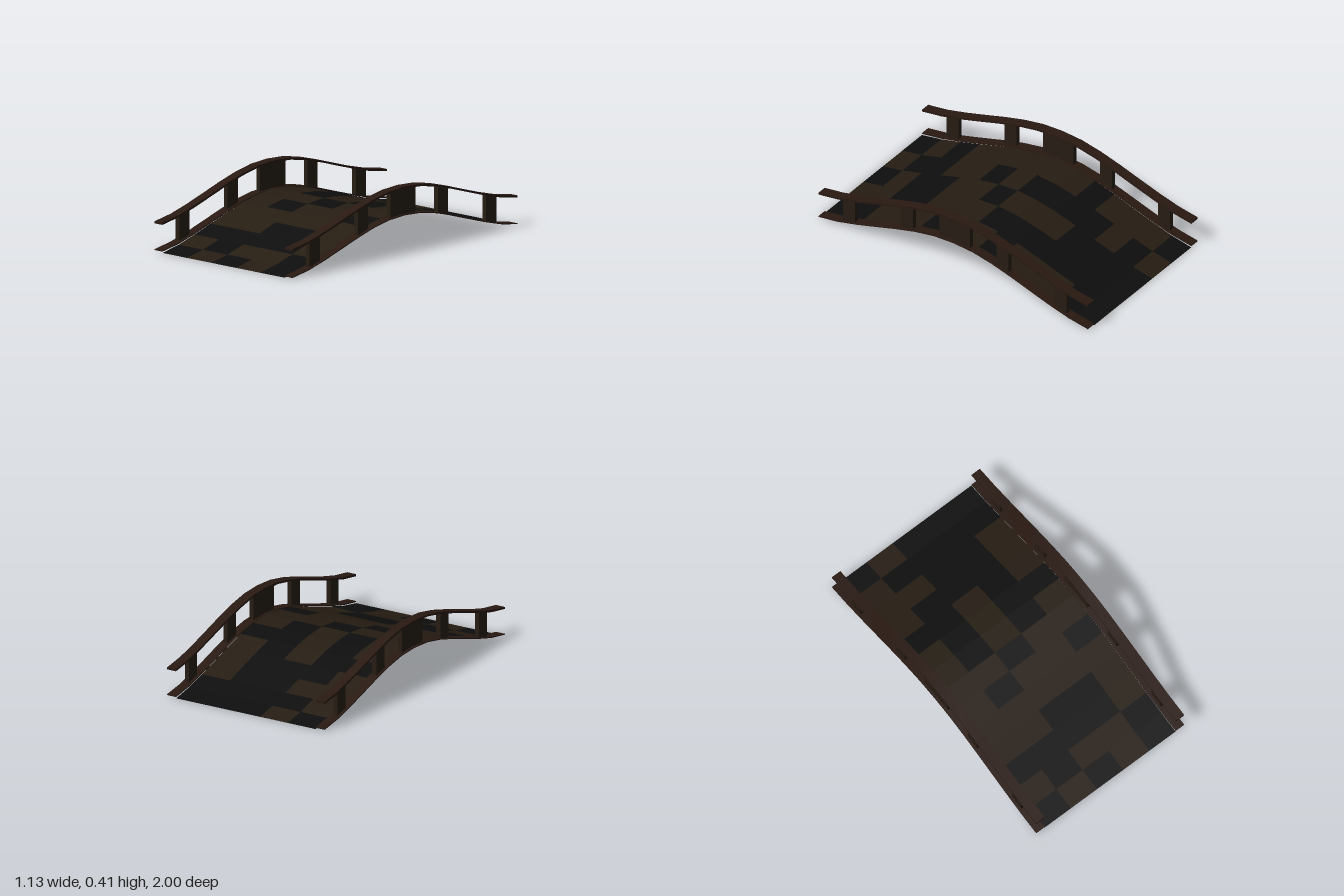
import * as THREE from 'three';
import { mergeGeometries } from 'three/addons/utils/BufferGeometryUtils.js';

// Arch heights at evenly spaced stations from the crown (z = 0) to the ends (z = 1)
const DECK = [0.235, 0.223, 0.195, 0.155, 0.11, 0.067, 0.027, 0];
const EDGE = [0.229, 0.221, 0.194, 0.155, 0.111, 0.068, 0.031, 0.008];
const ROWS = 14, COLS = 5;
const RAIL_RISE = 0.165;

// Deck panels from back to front, left column is -x; B = brown, D = dark
const PANELS = [
  'DBDDD', 'BDDDD', 'BBDDB', 'BDDDB', 'DDBDB', 'BDBDD', 'BDBDB',
  'BBDBB', 'BDBBD', 'BBBBB', 'BBDDB', 'DDDDB', 'BDBBD', 'DBDBD',
];

function heightAt(profile, z) {
  const t = Math.min(Math.abs(z), 1) * 7;
  const i = Math.min(Math.floor(t), 6);
  return THREE.MathUtils.lerp(profile[i], profile[i + 1], t - i);
}

// Bar that follows the arch between z0 and z1, from low to high above it
function archBar(x, width, z0, z1, low, high, segments) {
  const geo = new THREE.BoxGeometry(width, 1, 1, 1, 1, segments);
  const p = geo.attributes.position;
  for (let i = 0; i < p.count; i++) {
    const z = THREE.MathUtils.lerp(z0, z1, p.getZ(i) + 0.5);
    const y = heightAt(EDGE, z) + (p.getY(i) > 0 ? high : low);
    p.setXYZ(i, p.getX(i) + x, y, z);
  }
  geo.computeVertexNormals();
  return geo;
}

// Thin deck panel, one cell of the grid
function panel(row, col) {
  const geo = new THREE.PlaneGeometry(1 / COLS, 2 / ROWS);
  geo.rotateX(-Math.PI / 2);
  geo.translate(-0.5 + (col + 0.5) / COLS, 0, -1 + (row + 0.5) * 2 / ROWS);
  const p = geo.attributes.position;
  for (let i = 0; i < p.count; i++) p.setY(i, heightAt(DECK, p.getZ(i)));
  geo.computeVertexNormals();
  return geo;
}

export function createModel() {
  const model = new THREE.Group();
  model.name = 'archedFootbridge';

  const darkMat = new THREE.MeshStandardMaterial({ color: 0x0e0e0e, side: THREE.DoubleSide });
  const brownMat = new THREE.MeshStandardMaterial({ color: 0x261d13, side: THREE.DoubleSide });
  const railMat = new THREE.MeshStandardMaterial({ color: 0x291912 });
  const postMat = new THREE.MeshStandardMaterial({ color: 0x261d13 });

  const add = (parent, name, geo, mat) => {
    const mesh = new THREE.Mesh(geo, mat);
    mesh.name = name;
    parent.add(mesh);
  };

  // Chequered deck
  const cells = { B: [], D: [] };
  PANELS.forEach((line, row) => [...line].forEach((c, col) => cells[c].push(panel(row, col))));
  add(model, 'brownDeckPanels', mergeGeometries(cells.B), brownMat);
  add(model, 'darkDeckPanels', mergeGeometries(cells.D), darkMat);

  // Edge strip, posts and handrail on each side
  for (const side of [1, -1]) {
    const railing = new THREE.Group();
    railing.name = side > 0 ? 'leftRailing' : 'rightRailing';
    model.add(railing);
    const x = side * 0.533;
    add(railing, 'edgeStrip', archBar(x, 0.064, -1, 1, 0, 0.006, ROWS), railMat);
    add(railing, 'handrail', archBar(x, 0.064, -1, 1, RAIL_RISE, RAIL_RISE + 0.013, ROWS), railMat);
    const post = (name, z0, z1, n) =>
      add(railing, name, archBar(x, 0.03, z0, z1, 0.003, RAIL_RISE + 0.003, n), postMat);
    post('centrePost', -0.113, 0.113, 2);
    for (const [a, b] of [[0.31, 0.4], [0.74, 0.83]]) {
      post('frontPost', a, b, 1);
      post('backPost', -b, -a, 1);
    }
  }
  return model;
}
